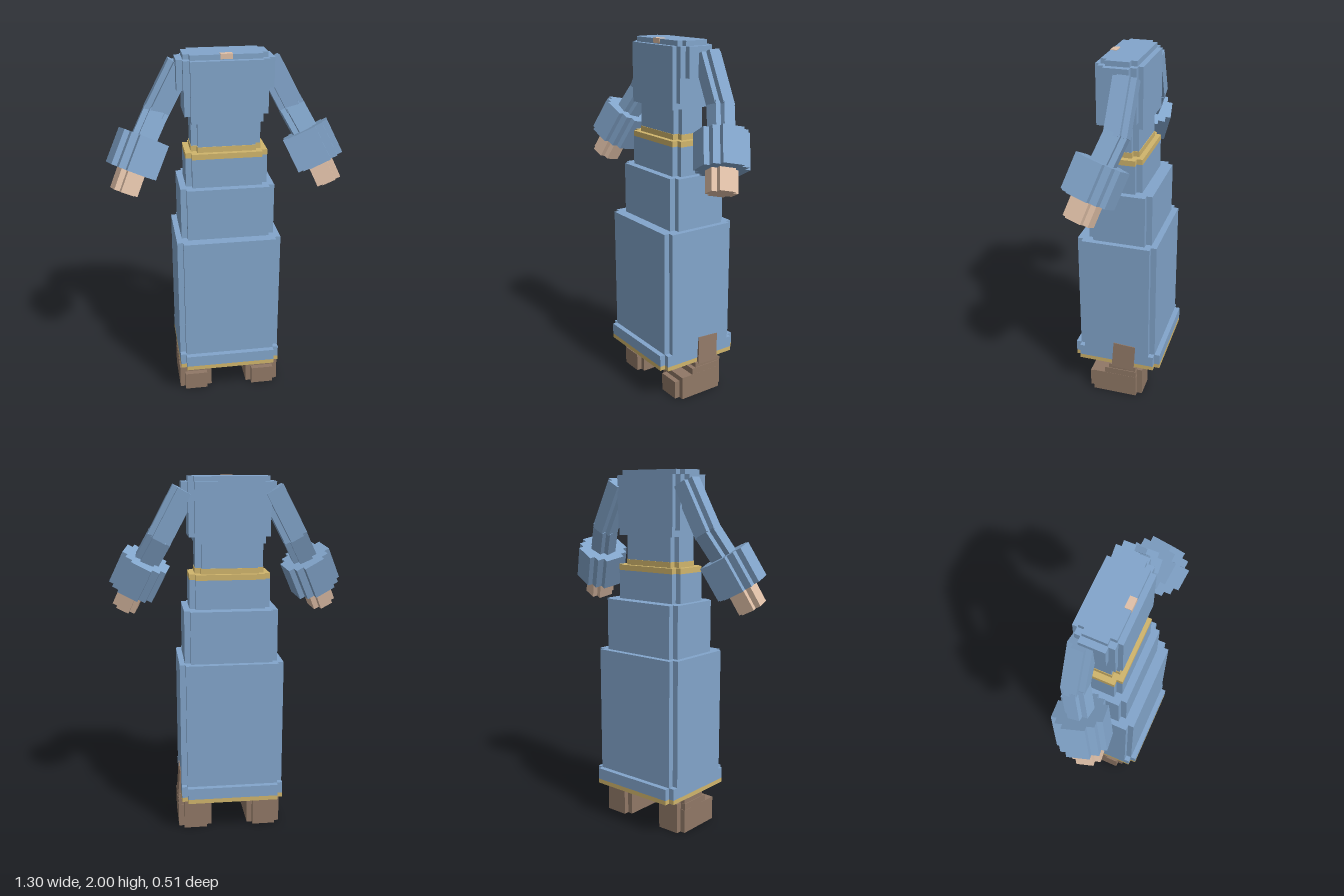
import * as THREE from 'three';

const material = (name, color) => {
  const m = new THREE.MeshStandardMaterial({ color });
  m.name = name;
  return m;
};

// Upright prism with stair-stepped corners. steps: [halfX, halfZ] from the widest to the deepest.
function steppedPrism(steps, height) {
  const quarter = [];
  steps.forEach(([x, z], i) => {
    if (i) quarter.push([x, steps[i - 1][1]]);
    quarter.push([x, z]);
  });
  const back = [...quarter].reverse();
  const outline = [
    ...quarter,
    ...back.map(([x, z]) => [-x, z]),
    ...quarter.map(([x, z]) => [-x, -z]),
    ...back.map(([x, z]) => [x, -z]),
  ].map(([x, z]) => new THREE.Vector2(x, z));
  const g = new THREE.ExtrudeGeometry(new THREE.Shape(outline), { depth: height, bevelEnabled: false });
  return g.rotateX(-Math.PI / 2);
}

const notched = (hx, hz, n) => [[hx, hz - n], [hx - n, hz]];

export function createModel() {
  const root = new THREE.Group();
  root.name = 'robedFigure';
  const blue = material('robeBlue', 0x82a5cb);
  const gold = material('trimGold', 0xd0b56c);
  const skin = material('skin', 0xe0c0a8);
  const brown = material('bootBrown', 0x907866);

  const add = (parent, name, geometry, mat) => {
    const m = new THREE.Mesh(geometry, mat);
    m.name = name;
    parent.add(m);
    return m;
  };

  // Robe: stacked tiers [name, bottom, top, halfX, halfZ, centreZ, material]
  const robe = new THREE.Group();
  robe.name = 'robe';
  robe.position.x = -0.0075;
  root.add(robe);
  const tiers = [
    ['hemTrim', 0.2, 0.225, 0.2875, 0.255, 0, gold],
    ['hem', 0.225, 0.29, 0.2875, 0.255, 0, blue],
    ['lowerSkirt', 0.29, 1.0, 0.2875, 0.225, 0, blue],
    ['middleSkirt', 1.0, 1.29, 0.257, 0.178, -0.012, blue],
    ['upperSkirt', 1.29, 1.45, 0.222, 0.125, 0, blue],
    ['belt', 1.45, 1.48, 0.222, 0.125, 0, gold],
    ['beltTop', 1.48, 1.51, 0.19, 0.098, 0, gold],
    ['waist', 1.51, 1.645, 0.187, 0.095, 0, blue],
    ['shoulders', 1.81, 1.97, 0.257, 0.1, 0, blue],
    ['shoulderTop', 1.97, 1.997, 0.222, 0.095, 0, blue],
  ];
  for (const [name, y0, y1, hx, hz, z, mat] of tiers) {
    add(robe, name, steppedPrism(notched(hx, hz, 0.032), y1 - y0), mat).position.set(0, y0, z);
  }
  // Chest: a deep centre panel block and a wider, shorter block
  add(robe, 'chestCentre', new THREE.BoxGeometry(0.38, 0.325, 0.25), blue).position.y = 1.8075;
  add(robe, 'chestSides', new THREE.BoxGeometry(0.444, 0.288, 0.2), blue).position.y = 1.824;
  add(robe, 'neckPatch', new THREE.BoxGeometry(0.065, 0.027, 0.036), skin).position.set(0, 1.9865, 0.078);

  // Boots
  for (const side of [-1, 1]) {
    const boot = new THREE.Group();
    boot.name = side > 0 ? 'leftBoot' : 'rightBoot';
    boot.position.x = side * 0.2;
    root.add(boot);
    // [name, width, height, back z, front z]
    const blocks = [
      ['toe', 0.13, 0.105, 0.1, 0.165],
      ['foot', 0.19, 0.135, -0.125, 0.135],
      ['instep', 0.188, 0.172, -0.123, 0.065],
      ['ankle', 0.18, 0.2, -0.12, 0.04],
      ['heel', 0.13, 0.172, -0.155, -0.1],
    ];
    for (const [name, w, h, z0, z1] of blocks) {
      add(boot, name, new THREE.BoxGeometry(w, h, z1 - z0), brown).position.set(0, h / 2, (z0 + z1) / 2);
    }
  }
  // Left boot shaft leans out through the robe
  const shaft = add(root, 'leftBootShaft', new THREE.BoxGeometry(0.17, 0.16, 0.13), brown);
  shaft.position.set(0.206, 0.262, -0.047);
  shaft.rotation.set(-0.06, 0, 0.07);

  // Arms: each section is a prism running from one point to another
  const down = new THREE.Vector3(0, 1, 0);
  const shoulder = new THREE.Vector3(0.235, 1.925, -0.055);
  const elbow = new THREE.Vector3(0.375, 1.665, -0.045);
  const cuffTop = new THREE.Vector3(0.44, 1.555, 0.005);
  const cuffEnd = new THREE.Vector3(0.52, 1.385, 0.062);
  const handEnd = new THREE.Vector3(0.565, 1.28, 0.097);
  const armSteps = notched(0.068, 0.062, 0.03);
  const cuffSteps = [[0.13, 0.06], [0.1, 0.1], [0.06, 0.13]];
  const sections = [
    ['upperArm', shoulder, elbow, armSteps, blue, 0],
    ['forearm', elbow.clone().lerp(shoulder, 0.06), cuffEnd.clone().lerp(cuffTop, 0.6), armSteps, blue, 0],
    ['cuff', cuffTop, cuffEnd, cuffSteps, blue, -0.2],
    ['hand', cuffTop.clone().lerp(cuffEnd, 0.7), handEnd, notched(0.067, 0.075, 0.03), skin, -0.2],
  ];
  for (const side of [-1, 1]) {
    const arm = new THREE.Group();
    arm.name = side > 0 ? 'leftArm' : 'rightArm';
    root.add(arm);
    const flip = (v) => new THREE.Vector3(v.x * side, v.y, v.z);
    for (const [name, from, to, steps, mat, twist] of sections) {
      const a = flip(from);
      const dir = flip(to).sub(a);
      const geometry = steppedPrism(steps, dir.length());
      // Grow downward so the section keeps its front facing forward
      geometry.translate(0, -dir.length(), 0).rotateY(twist * side);
      const m = add(arm, name, geometry, mat);
      m.quaternion.setFromUnitVectors(down, dir.clone().normalize().negate());
      m.position.copy(a);
    }
  }
  return root;
}
